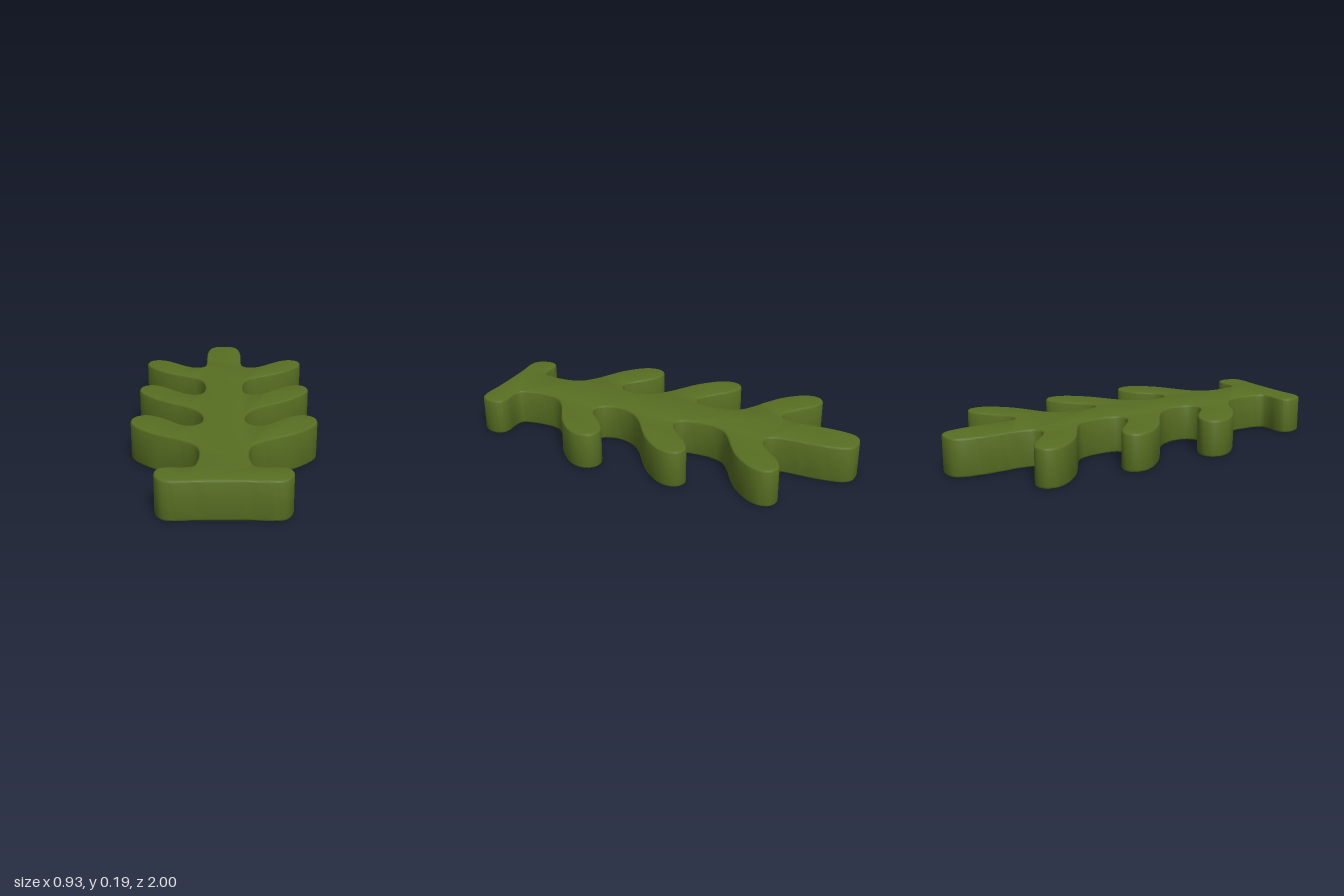
import * as THREE from 'three';
import { toCreasedNormals } from 'three/addons/utils/BufferGeometryUtils.js';

const HEIGHT = 0.192;
const BEVEL = 0.01;

// One side of the outline as [x, z], from the tip to the foot
const HALF = [
  [0.045, -0.998], [0.08, -0.965], [0.1, -0.87], [0.102, -0.76], [0.103, -0.64],
  // upper branch
  [0.118, -0.588], [0.155, -0.57], [0.2, -0.585], [0.265, -0.64], [0.33, -0.697], [0.39, -0.72],
  [0.437, -0.7], [0.453, -0.65], [0.435, -0.59], [0.36, -0.5], [0.28, -0.443], [0.2, -0.397],
  [0.135, -0.345], [0.107, -0.27], [0.104, -0.17],
  // middle branch
  [0.118, -0.118], [0.155, -0.095], [0.2, -0.11], [0.265, -0.165], [0.33, -0.225], [0.395, -0.256],
  [0.442, -0.235], [0.459, -0.185], [0.44, -0.12], [0.36, -0.025], [0.28, 0.035], [0.2, 0.09],
  [0.135, 0.16], [0.106, 0.25],
  // lower branch
  [0.12, 0.325], [0.165, 0.355], [0.21, 0.342], [0.27, 0.285], [0.33, 0.235], [0.395, 0.211],
  [0.445, 0.235], [0.463, 0.285], [0.447, 0.35], [0.36, 0.445], [0.28, 0.495], [0.2, 0.543],
  [0.135, 0.605], [0.115, 0.68], [0.121, 0.79],
  // foot
  [0.137, 0.835], [0.175, 0.847], [0.25, 0.846], [0.29, 0.862], [0.304, 0.9],
  [0.297, 0.945], [0.272, 0.983], [0.23, 0.996], [0.12, 0.99],
];

export function createModel() {
  const green = new THREE.MeshStandardMaterial({ color: 0x586f22 });
  green.name = 'olive green';

  // Mirror the half outline and smooth it into a closed curve
  const loop = [...HALF, ...HALF.map(([x, z]) => [-x, z]).reverse()];
  const curve = new THREE.CatmullRomCurve3(
    loop.map(([x, z]) => new THREE.Vector3(x, -z, 0)), true, 'centripetal');
  const outline = [];
  const count = loop.length * 4;
  for (let i = 0; i < count; i++) {
    const p = curve.getPoint(i / count);
    outline.push(new THREE.Vector2(p.x, p.y));
  }

  // Thick slab with a fine rounded edge, laid flat
  const slab = new THREE.ExtrudeGeometry(new THREE.Shape(outline), {
    depth: HEIGHT - 2 * BEVEL,
    bevelThickness: BEVEL,
    bevelSize: BEVEL,
    bevelOffset: -BEVEL,
    bevelSegments: 3,
  });
  slab.translate(0, 0, BEVEL);
  slab.rotateX(-Math.PI / 2);

  const branch = new THREE.Mesh(toCreasedNormals(slab, 0.6), green);
  branch.name = 'branchedSprig';

  const group = new THREE.Group();
  group.name = 'sprig';
  group.add(branch);
  return group;
}
